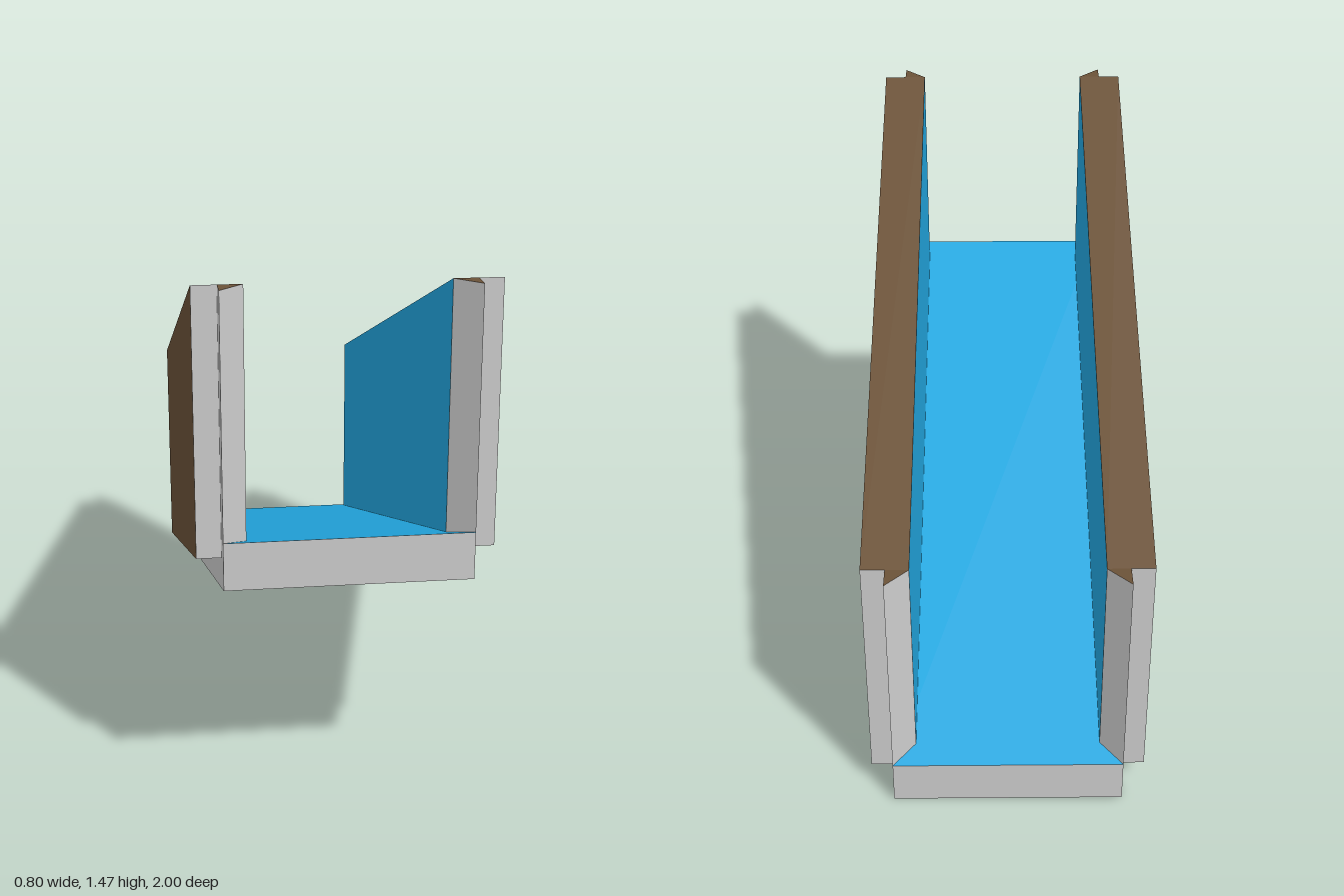
import * as THREE from 'three';

const GREY = new THREE.MeshStandardMaterial({ color: 0xcccccc });
const BROWN = new THREE.MeshStandardMaterial({ color: 0x6b5238 });
const BLUE = new THREE.MeshStandardMaterial({ color: 0x22a7e0 });

const OUT = 0.4, MID = 0.333, IN = 0.267; // wall planes in x
const END = 1, INSET = 0.933;             // floor and wall ends in z
const THICK = 0.133;                      // floor thickness

// Heights along the slope
const floorBottom = (z) => (z + 1) / 3;
const floorTop = (z) => floorBottom(z) + THICK;
const wallTop = (z) => (z > 0 ? 1.467 : 0.8);
const wallBottom = (z) => (z > 0 ? 0.733 : 0.073);

// Flat convex panel; corners run counter-clockwise seen from outside
function panel(name, corners, material, mirrored = false) {
  const pts = mirrored ? corners.map(([x, y, z]) => [-x, y, z]).reverse() : corners;
  const pos = [];
  for (let i = 1; i < pts.length - 1; i++) pos.push(...pts[0], ...pts[i], ...pts[i + 1]);
  const geo = new THREE.BufferGeometry();
  geo.setAttribute('position', new THREE.Float32BufferAttribute(pos, 3));
  geo.computeVertexNormals();
  const mesh = new THREE.Mesh(geo, material);
  mesh.name = name;
  return mesh;
}

// Sloping floor slab
function createFloor() {
  const g = new THREE.Group();
  g.name = 'floor';
  const t = (x, z) => [x, floorTop(z), z];
  const b = (x, z) => [x, floorBottom(z), z];
  g.add(
    panel('floorSurface', [t(-MID, END), t(MID, END), t(MID, -END), t(-MID, -END)], BLUE),
    panel('floorUnderside', [b(-MID, -END), b(MID, -END), b(MID, END), b(-MID, END)], BROWN),
    panel('floorFrontEnd', [b(-MID, END), b(MID, END), t(MID, END), t(-MID, END)], GREY),
    panel('floorBackEnd', [b(MID, -END), b(-MID, -END), t(-MID, -END), t(MID, -END)], GREY),
  );
  for (const mirrored of [false, true]) {
    g.add(panel('floorSide', [b(MID, END), b(MID, -END), t(MID, -END), t(MID, END)], GREY, mirrored));
  }
  return g;
}

// Side wall with an overhanging outer layer and bevelled inner ends
function createWall(mirrored) {
  const g = new THREE.Group();
  g.name = mirrored ? 'rightWall' : 'leftWall';
  const add = (name, corners, mat) => g.add(panel(name, corners, mat, mirrored));
  const top = (x, z) => [x, wallTop(z), z];
  const low = (x, z) => [x, wallBottom(z), z];

  // Plan outline: x, z, bottom height rule
  const plan = [
    [OUT, INSET, wallBottom], [OUT, -INSET, wallBottom],
    [MID, -INSET, wallBottom], [MID, -END, floorTop],
    [IN, -INSET, floorTop], [IN, INSET, floorTop],
    [MID, END, floorTop], [MID, INSET, wallBottom],
  ];
  const names = ['outerFace', 'backEnd', 'backStep', 'backBevel', 'innerFace', 'frontBevel', 'frontStep', 'frontEnd'];
  const colours = { outerFace: BROWN, innerFace: BLUE };
  plan.forEach(([x, z, bottom], i) => {
    const [x2, z2, bottom2] = plan[(i + 1) % plan.length];
    add(names[i], [[x, bottom(z), z], [x2, bottom2(z2), z2], top(x2, z2), top(x, z)], colours[names[i]] || GREY);
  });

  // Sloping rim, level end tips and the underside of the overhang
  add('rim', [top(IN, INSET), top(OUT, INSET), top(OUT, -INSET), top(IN, -INSET)], BROWN);
  add('frontTip', [top(IN, INSET), top(MID, END), top(MID, INSET)], BROWN);
  add('backTip', [top(MID, -INSET), top(MID, -END), top(IN, -INSET)], BROWN);
  add('overhangUnderside', [low(MID, INSET), low(MID, -INSET), low(OUT, -INSET), low(OUT, INSET)], GREY);
  return g;
}

export function createModel() {
  const model = new THREE.Group();
  model.name = 'slopedChannel';
  model.add(createFloor(), createWall(false), createWall(true));
  return model;
}
